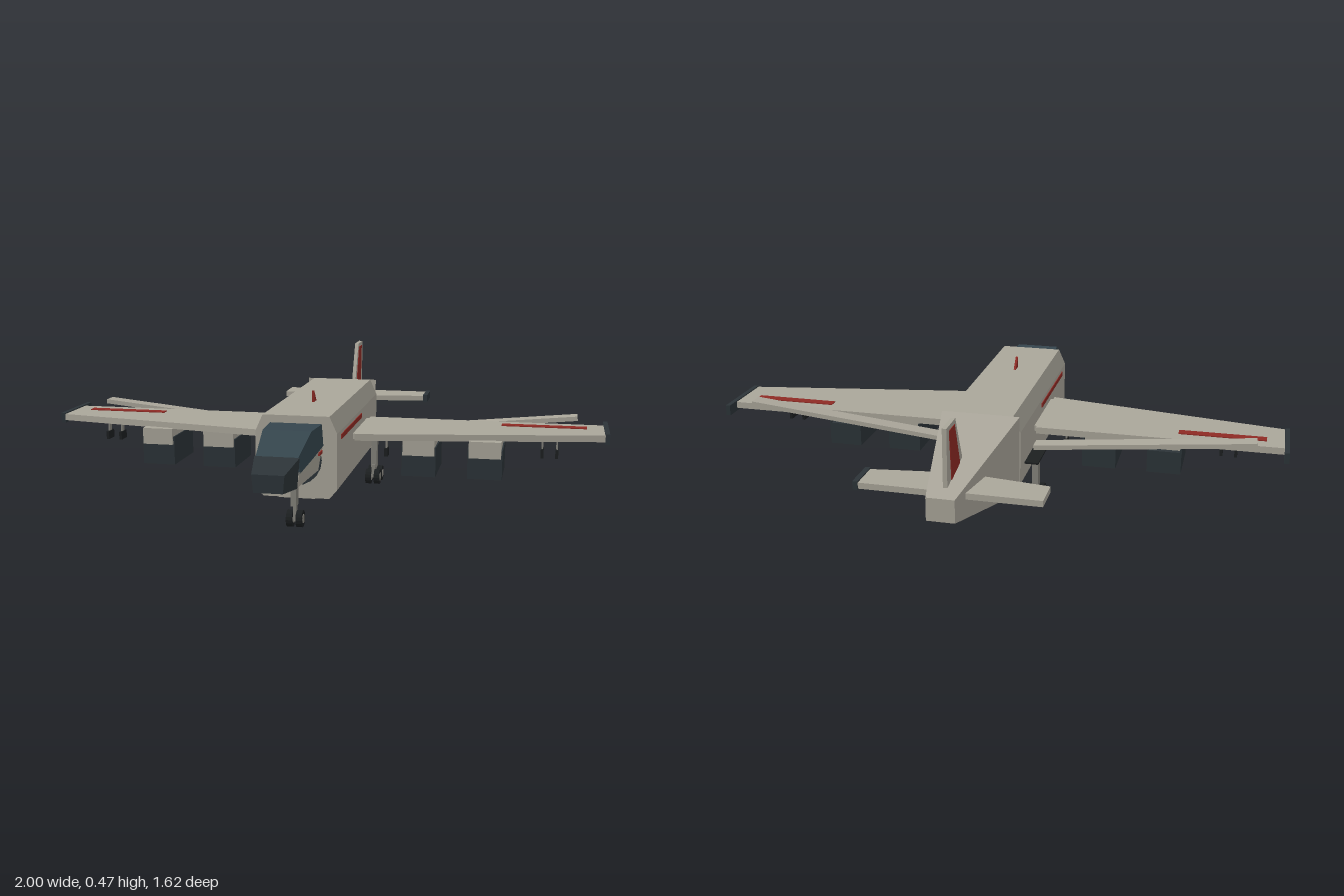
import * as THREE from 'three';

const mat = (color) => new THREE.MeshStandardMaterial({ color, flatShading: true, side: THREE.DoubleSide });

export function createModel() {
  const model = new THREE.Group();
  const hull = mat(0xaaa69a), dark = mat(0x2c3438), glass = mat(0x35454d), red = mat(0x8e2a24);
  const black = mat(0x1c1f20), metal = mat(0x85837c);

  const add = (name, geometry, material, x = 0, y = 0, z = 0) => {
    const mesh = new THREE.Mesh(geometry, material);
    mesh.name = name;
    mesh.position.set(x, y, z);
    model.add(mesh);
    return mesh;
  };
  // box given by its limits on each axis
  const box = (name, material, [x0, x1], [y0, y1], [z0, z1]) =>
    add(name, new THREE.BoxGeometry(Math.abs(x1 - x0), y1 - y0, z1 - z0), material,
      (x0 + x1) / 2, (y0 + y1) / 2, (z0 + z1) / 2);

  // skin over cross-sections [z, ring of x,y], rings counter-clockwise, z falling
  const loft = (name, material, sections) => {
    const pos = [];
    const put = (s, i) => pos.push(s[1][i][0], s[1][i][1], s[0]);
    const n = sections[0][1].length;
    for (let k = 0; k + 1 < sections.length; k++) {
      const a = sections[k], b = sections[k + 1];
      for (let i = 0; i < n; i++) {
        const j = (i + 1) % n;
        put(a, i); put(b, i); put(a, j);
        put(a, j); put(b, i); put(b, j);
      }
    }
    const first = sections[0], last = sections[sections.length - 1];
    for (let i = 1; i + 1 < n; i++) {
      put(first, 0); put(first, i); put(first, i + 1);
      put(last, 0); put(last, i + 1); put(last, i);
    }
    const g = new THREE.BufferGeometry();
    g.setAttribute('position', new THREE.Float32BufferAttribute(pos, 3));
    g.computeVertexNormals();
    return add(name, g, material);
  };
  // symmetric four-sided section
  const quad = (z, wBottom, wTop, y0, y1) => [z, [[-wBottom, y0], [wBottom, y0], [wTop, y1], [-wTop, y1]]];

  // flat plate with an outline in x,z
  const plate = (name, material, outline, y, height, side = 1) => {
    const shape = new THREE.Shape(outline.map(([x, z]) => new THREE.Vector2(x * side, -z)));
    const g = new THREE.ExtrudeGeometry(shape, { depth: height, bevelEnabled: false });
    return add(name, g.rotateX(-Math.PI / 2), material, 0, y, 0);
  };
  // upright plate with an outline in z,y
  const upright = (name, material, outline, thickness) => {
    const shape = new THREE.Shape(outline.map(([z, y]) => new THREE.Vector2(-z, y)));
    const g = new THREE.ExtrudeGeometry(shape, { depth: thickness, bevelEnabled: false });
    return add(name, g.translate(0, 0, -thickness / 2).rotateY(Math.PI / 2), material);
  };

  // fuselage and tapering tail
  const ring = [[-0.11, 0.095], [0.11, 0.095], [0.135, 0.125], [0.135, 0.31],
    [0.11, 0.365], [-0.11, 0.365], [-0.135, 0.31], [-0.135, 0.125]];
  loft('fuselage', hull, [[0.45, ring], [-0.34, ring]]);
  loft('tailCone', hull, [quad(-0.34, 0.132, 0.132, 0.095, 0.365), quad(-0.81, 0.045, 0.045, 0.19, 0.265)]);
  box('bellyPanel', hull, [-0.06, 0.06], [0.09, 0.1], [-0.33, 0.44]);

  // nose
  add('bulkhead', new THREE.CylinderGeometry(0.085, 0.085, 0.01, 20).rotateX(Math.PI / 2), dark, 0, 0.222, 0.451);
  loft('noseSill', hull, [quad(0.7, 0.06, 0.07, 0.19, 0.24), quad(0.45, 0.075, 0.088, 0.19, 0.27)]);
  loft('canopy', glass, [quad(0.7, 0.07, 0.066, 0.235, 0.285), quad(0.57, 0.083, 0.078, 0.255, 0.34),
    quad(0.45, 0.09, 0.085, 0.27, 0.34)]);
  loft('noseTip', dark, [quad(0.81, 0.045, 0.05, 0.2, 0.255), quad(0.7, 0.062, 0.07, 0.19, 0.285)]);

  // fin and antenna
  upright('fin', hull, [[-0.58, 0.29], [-0.66, 0.465], [-0.755, 0.465], [-0.755, 0.25], [-0.6, 0.25]], 0.014);
  upright('finPanel', red, [[-0.62, 0.305], [-0.672, 0.45], [-0.73, 0.45], [-0.713, 0.285]], 0.018);
  upright('antenna', red, [[0.19, 0.36], [0.19, 0.405], [0.15, 0.36]], 0.008);

  const wheel = (x, z) => {
    add('tyre', new THREE.CylinderGeometry(0.028, 0.028, 0.02, 16).rotateZ(Math.PI / 2), black, x, 0.028, z);
    add('wheelHub', new THREE.CylinderGeometry(0.015, 0.015, 0.023, 12).rotateZ(Math.PI / 2), metal, x, 0.028, z);
  };

  for (const s of [1, -1]) {
    const span = (a, b) => [s * a, s * b];

    // wing, tip cap, stripe and raised flap
    plate('wing', hull, [[0.145, 0.19], [0.985, 0.042], [0.985, -0.14], [0.145, -0.14]], 0.235, 0.023, s);
    box('wingTip', dark, span(0.984, 1), [0.225, 0.262], [-0.195, 0.042]);
    box('wingStripe', red, span(0.63, 0.925), [0.255, 0.261], [-0.09, -0.056]);
    box('wingRoot', hull, span(0.1, 0.15), [0.237, 0.256], [-0.12, 0.17]);
    const flap = add('flap', new THREE.BoxGeometry(0.75, 0.016, 0.055), hull, s * 0.521, 0.241, -0.169);
    flap.rotation.z = s * 0.1;

    // engines under the wing
    for (const x of [0.358, 0.585]) {
      box('enginePylon', hull, span(x - 0.055, x + 0.055), [0.18, 0.238], [-0.06, 0.14]);
      box('engine', dark, span(x - 0.059, x + 0.059), [0.105, 0.185], [-0.08, 0.13]);
      for (const e of [-0.057, 0.057])
        box('engineSide', dark, span(x + e - 0.003, x + e + 0.003), [0.18, 0.208], [-0.08, 0.13]);
    }
    // small underwing fittings
    for (const x of [0.775, 0.825]) {
      box('fittingStem', metal, span(x - 0.003, x + 0.003), [0.18, 0.236], [-0.01, 0.01]);
      box('fitting', black, span(x - 0.005, x + 0.005), [0.165, 0.195], [-0.025, 0.025]);
    }
    box('innerFitting', black, span(0.222, 0.234), [0.145, 0.175], [-0.02, 0.02]);
    box('innerFittingStem', metal, span(0.225, 0.231), [0.17, 0.236], [-0.01, 0.01]);

    // fuselage and nose stripes
    box('sideStripe', red, span(0.132, 0.138), [0.281, 0.297], [0, 0.385]);
    box('noseStripe', red, span(0.075, 0.089), [0.247, 0.258], [0.455, 0.495]);

    // main landing gear
    box('gearPlate', black, span(0.12, 0.182), [0.175, 0.181], [-0.275, -0.12]);
    box('mainStrut', metal, span(0.145, 0.166), [0.06, 0.18], [-0.2, -0.165]);
    box('mainBogie', metal, span(0.149, 0.161), [0.022, 0.07], [-0.215, -0.155]);
    for (const z of [-0.154, -0.216]) for (const x of [0.139, 0.171]) wheel(s * x, z);

    // nose wheel
    wheel(s * 0.016, 0.463);
  }

  // nose gear
  box('noseGearPlate', black, [-0.03, 0.03], [0.175, 0.181], [0.4, 0.525]);
  box('noseStrut', metal, [-0.009, 0.009], [0.075, 0.2], [0.455, 0.49]);
  box('noseFork', metal, [-0.005, 0.005], [0.02, 0.08], [0.455, 0.475]);

  // tailplane, capped on one side
  plate('tailplane', hull, [[-0.295, -0.63], [-0.06, -0.6], [0.06, -0.6], [0.285, -0.63],
    [0.285, -0.74], [-0.295, -0.74]], 0.239, 0.02);
  box('tailplaneTip', dark, [0.283, 0.3], [0.235, 0.263], [-0.742, -0.625]);

  return model;
}
